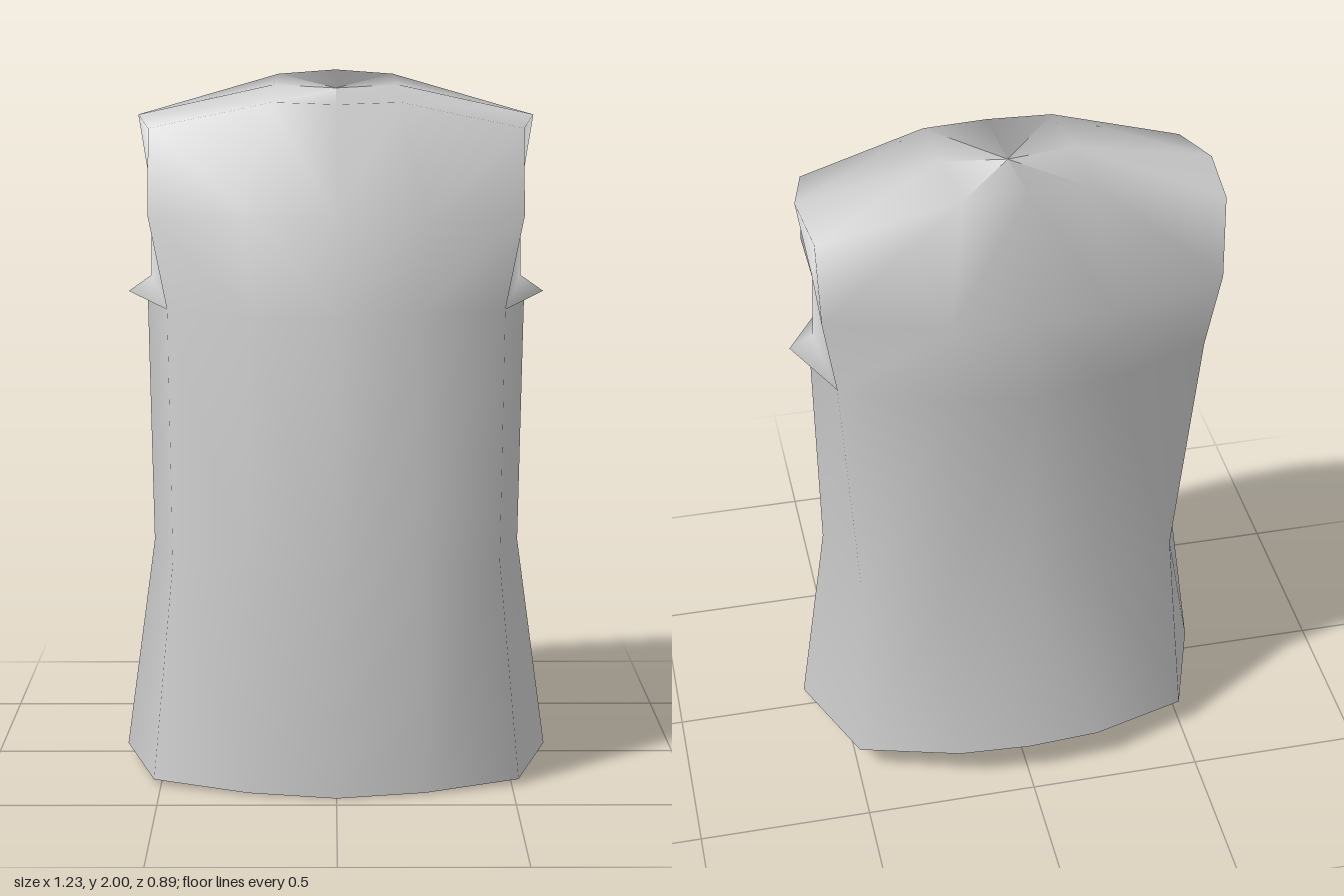
import * as THREE from 'three';
import { mergeVertices } from 'three/addons/utils/BufferGeometryUtils.js';

const material = new THREE.MeshStandardMaterial({ color: 0xcccccc, side: THREE.DoubleSide });

// Quads between two rows of points, lower row first, running left to right from outside
function strip(low, high) {
  const tris = [];
  for (let i = 0; i < low.length - 1; i++) {
    tris.push([low[i], low[i + 1], high[i + 1]], [low[i], high[i + 1], high[i]]);
  }
  return tris;
}

// Triangles from a centre point to each edge of a rim
function fan(center, rim) {
  return rim.slice(0, -1).map((p, i) => [center, p, rim[i + 1]]);
}

// Mirror triangles across x = 0, keeping them facing outwards
function mirror(tris) {
  return tris.map((t) => t.map(([x, y, z]) => [-x, y, z]).reverse());
}

function triangleGeometry(tris) {
  const geometry = new THREE.BufferGeometry();
  geometry.setAttribute('position', new THREE.Float32BufferAttribute(tris.flat(2), 3));
  return geometry;
}

const key = (p) => p.map((v) => Math.round(v * 1000) + 0).join();

export function createModel() {
  const group = new THREE.Group();
  group.name = 'sleevelessTop';

  // Half rings from front centre round the left side to back centre
  const hem = [[0, 0, 0.443], [0.25, 0.005, 0.408], [0.52, 0.015, 0.315], [0.615, 0.035, 0.03],
    [0.495, 0.085, -0.32], [0.21, 0.11, -0.425], [0, 0.115, -0.443]];
  const waist = [[0, 0.64, 0.427], [0.24, 0.645, 0.39], [0.46, 0.65, 0.305], [0.53, 0.65, 0.02],
    [0.46, 0.67, -0.25], [0.22, 0.68, -0.34], [0, 0.68, -0.357]];
  const chest = [[0, 1.35, 0.36], [0.23, 1.35, 0.325], [0.475, 1.35, 0.2], [0.545, 1.355, -0.03],
    [0.51, 1.42, -0.31], [0.22, 1.41, -0.41], [0, 1.4, -0.435]];

  // Upper rows of the front panel, the shoulder and the back panel
  const frontMid = [[0, 1.62, 0.285], [0.25, 1.62, 0.25], [0.53, 1.61, 0.155]];
  const frontTop = [[0, 1.92, 0.165], [0.18, 1.925, 0.145], [0.53, 1.85, 0.09]];
  const shoulder = [[0.18, 1.965, -0.1], [0.57, 1.88, -0.09]];
  const backMid = [[0.545, 1.65, -0.33], [0.22, 1.65, -0.425], [0, 1.65, -0.443]];
  const backTop = [[0.55, 1.88, -0.3], [0.17, 1.988, -0.345], [0, 2, -0.365]];

  // Outer tip and inner edge of the ledge under the arm
  const ledgeTip = [0.6, 1.375, -0.03];
  const ledgeInner = [0.535, 1.42, -0.04];

  const half = [
    ...strip(hem, waist),
    ...strip(waist, chest),
    ...strip(chest.slice(0, 3), frontMid),
    ...strip(frontMid, frontTop),
    ...strip(chest.slice(4), backMid),
    ...strip(backMid, backTop),
    ...strip(frontTop.slice(1), shoulder),
    ...strip(shoulder, [backTop[1], backTop[0]]),
    ...fan(ledgeTip, [chest[4], ledgeInner, chest[2], chest[3], chest[4]]),
  ];
  const skin = mergeVertices(triangleGeometry([...half, ...mirror(half)]), 1e-4);
  skin.computeVertexNormals();
  const torso = new THREE.Mesh(skin, material);
  torso.name = 'torso';
  group.add(torso);

  // Normals of the torso, looked up by position
  const normals = new Map();
  const { position, normal } = skin.attributes;
  for (let i = 0; i < position.count; i++) {
    normals.set(key(new THREE.Vector3().fromBufferAttribute(position, i).toArray()),
      new THREE.Vector3().fromBufferAttribute(normal, i));
  }

  // Fan caps take over the shading of the rim they close
  function addCap(name, tris) {
    const geometry = triangleGeometry(tris);
    const shading = tris.flatMap((tri) => {
      const known = tri.map((p) => normals.get(key(p)));
      const mean = new THREE.Vector3();
      known.forEach((n) => n && mean.add(n));
      mean.normalize();
      return known.flatMap((n) => (n ?? mean).toArray());
    });
    geometry.setAttribute('normal', new THREE.Float32BufferAttribute(shading, 3));
    const mesh = new THREE.Mesh(geometry, material);
    mesh.name = name;
    group.add(mesh);
  }

  const armhole = fan([0.535, 1.65, -0.1], [chest[2], ledgeInner, chest[4], backMid[0], backTop[0],
    shoulder[1], frontTop[2], frontMid[2], chest[2]]);
  addCap('leftArmhole', armhole);
  addCap('rightArmhole', mirror(armhole));

  const neck = fan([0, 1.955, -0.11],
    [frontTop[0], frontTop[1], shoulder[0], backTop[1], backTop[2]]);
  addCap('neckline', [...neck, ...mirror(neck)]);

  const under = fan([0, 0.055, 0], [...hem].reverse());
  addCap('underside', [...under, ...mirror(under)]);

  return group;
}
